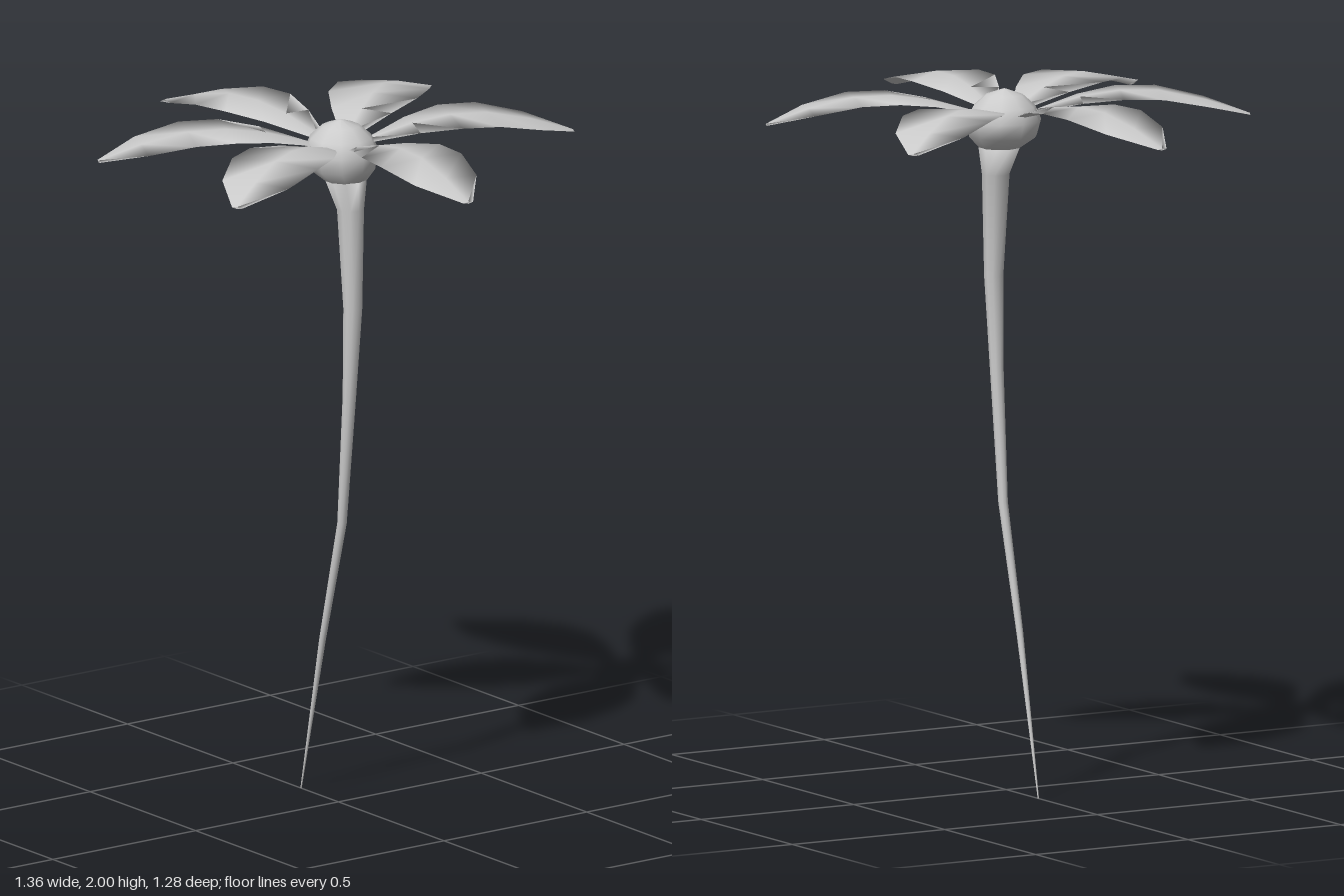
import * as THREE from 'three';

const material = new THREE.MeshStandardMaterial({ color: 0xcccccc });

// Smooth closed skin over a list of rings (each ring a list of [x, y, z])
function loft(rings, name) {
  const n = rings[0].length;
  const pos = rings.flat(2);
  const index = [];
  for (let r = 0; r < rings.length - 1; r++) {
    for (let i = 0; i < n; i++) {
      const a = r * n + i, b = r * n + (i + 1) % n;
      index.push(a, a + n, b, b, a + n, b + n);
    }
  }
  const last = (rings.length - 1) * n;
  for (let i = 1; i < n - 1; i++) {
    index.push(0, i, i + 1);
    index.push(last, last + i + 1, last + i);
  }
  const geometry = new THREE.BufferGeometry();
  geometry.setAttribute('position', new THREE.Float32BufferAttribute(pos, 3));
  geometry.setIndex(index);
  geometry.computeVertexNormals();
  const mesh = new THREE.Mesh(geometry, material);
  mesh.name = name;
  return mesh;
}

// Horizontal ring: centre x, height, radius
function ring([x, y, r], sides) {
  return Array.from({ length: sides }, (_, i) => {
    const a = (i / sides) * Math.PI * 2;
    return [x + r * Math.cos(a), y, r * Math.sin(a)];
  });
}

// Thin leaf-shaped shell along +x, rising from the base and drooping at the tip
function petal(length, angle) {
  const stations = [ // distance, half width, height, half thickness
    [0.09, 0.028, 1.935, 0.006],
    [0.21, 0.088, 1.967, 0.007],
    [0.32, 0.13, 1.983, 0.007],
    [0.43, 0.134, 1.981, 0.007],
    [0.56, 0.103, 1.953, 0.006],
    [0.68, 0.016, 1.916, 0.003],
  ];
  const mesh = loft(stations.map(([s, w, y, t]) => {
    const x = s * length / 0.68;
    return [[x, y, w], [x, y + t, 0], [x, y, -w], [x, y - t, 0]];
  }), 'petal');
  mesh.position.x = 0.01;
  mesh.rotation.y = -THREE.MathUtils.degToRad(angle);
  return mesh;
}

export function createModel() {
  const flower = new THREE.Group();
  flower.name = 'flower';

  // Bent stem, tapering to a point at the foot
  const stem = [
    [-0.177, 0, 0.002], [-0.075, 0.46, 0.01], [0.017, 0.82, 0.014], [0.052, 1.2, 0.02],
    [0.068, 1.46, 0.028], [0.057, 1.75, 0.04], [0.035, 1.835, 0.062],
  ];
  flower.add(loft(stem.map((s) => ring(s, 10)), 'stem'));

  // Swollen cup and domed centre
  const centre = [
    [0.035, 1.83, 0.06], [0.017, 1.865, 0.098], [0.013, 1.91, 0.108],
    [0.012, 1.95, 0.09], [0.011, 1.983, 0.053], [0.01, 2, 0.004],
  ];
  flower.add(loft(centre.map((s) => ring(s, 10)), 'flowerCentre'));

  // Six unevenly spaced petals
  const petals = new THREE.Group();
  petals.name = 'petals';
  const layout = [
    [0.67, 4], [0.685, 61.6], [0.695, 115], [0.7, 171.4], [0.69, 232.6], [0.68, 290.7],
  ];
  for (const [length, angle] of layout) petals.add(petal(length, angle));
  flower.add(petals);

  return flower;
}
